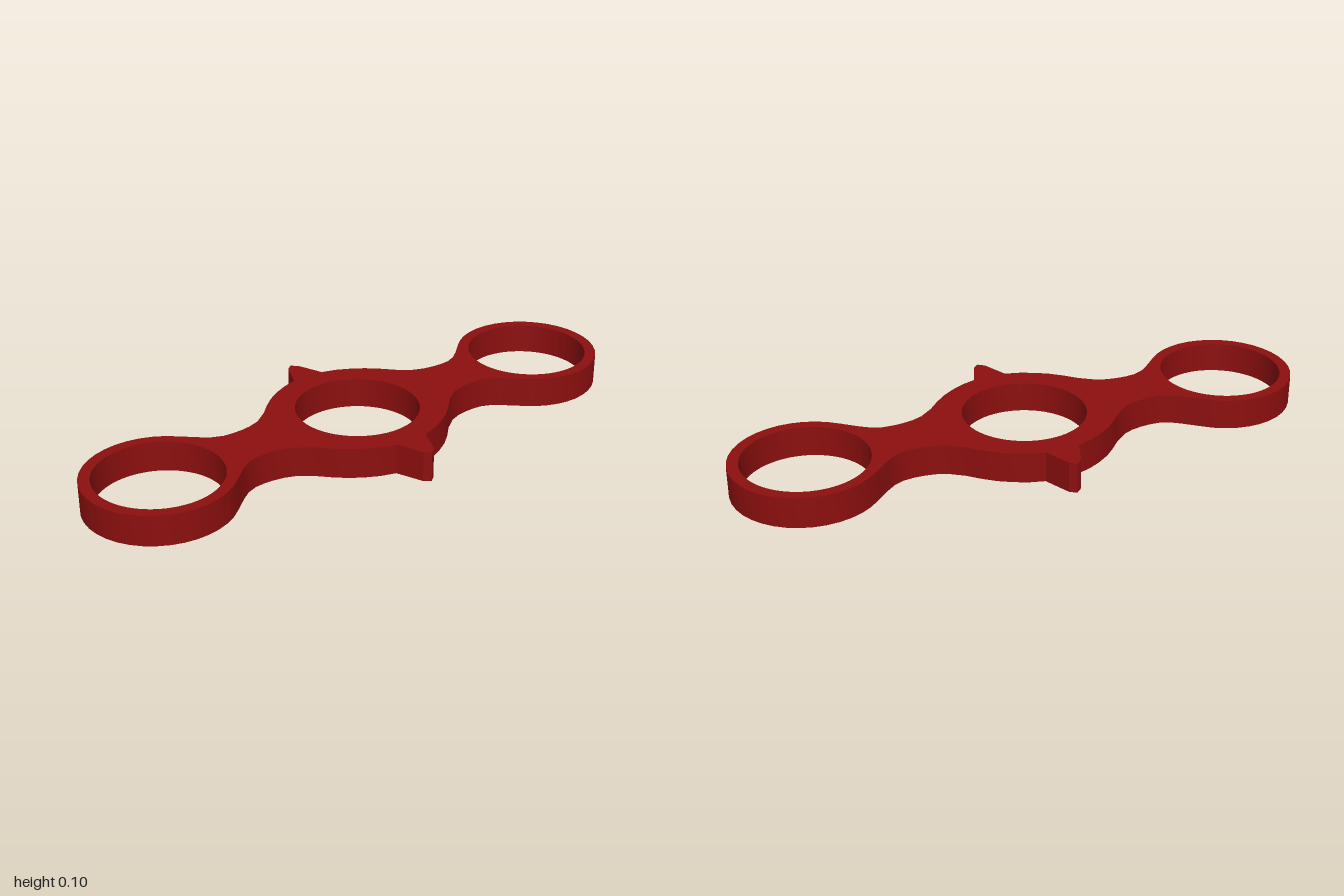
import * as THREE from 'three';
import { toCreasedNormals } from 'three/addons/utils/BufferGeometryUtils.js';

const HEIGHT = 0.104;
const RING_Z = 0.755;   // distance of the end rings from the middle
const RING_R = 0.245;   // outer radius of the end rings
const HOLE_R = 0.207;   // radius of all three holes

// One quarter of the outline, from the side spike to the end ring
function quarterOutline() {
  const points = [
    [0.392, 0], [0.375, 0.021], [0.285, 0.058],            // spike
    [0.27, 0.108], [0.248, 0.153], [0.22, 0.197], [0.185, 0.237], // hub
    [0.146, 0.275], [0.11, 0.323], [0.096, 0.36], [0.09, 0.395],  // shoulder
    [0.088, 0.43], [0.091, 0.465], [0.105, 0.5], [0.129, 0.532],  // neck
  ].map(([x, y]) => new THREE.Vector2(x, y));
  const start = -0.77, steps = 14;
  for (let i = 0; i <= steps; i++) {
    const a = start + (Math.PI / 2 - start) * i / steps;
    points.push(new THREE.Vector2(RING_R * Math.cos(a), RING_Z + RING_R * Math.sin(a)));
  }
  return points;
}

// Mirror the quarter into the full closed outline
function fullOutline() {
  const q = quarterOutline();
  const left = q.slice(0, -1).reverse().map(p => new THREE.Vector2(-p.x, p.y));
  const half = [...q, ...left];
  const back = half.slice(1, -1).map(p => new THREE.Vector2(-p.x, -p.y));
  return [...half, ...back];
}

export function createModel() {
  const group = new THREE.Group();
  group.name = 'spinner';

  // Flat plate with a hub hole and a hole in each end ring
  const shape = new THREE.Shape(fullOutline());
  for (const y of [-RING_Z, 0, RING_Z]) {
    shape.holes.push(new THREE.Path().absarc(0, y, HOLE_R, 0, Math.PI * 2, true));
  }
  const plate = new THREE.ExtrudeGeometry(shape, {
    depth: HEIGHT, bevelEnabled: false, curveSegments: 48,
  });
  plate.rotateX(-Math.PI / 2);

  const frame = new THREE.Mesh(
    toCreasedNormals(plate, 0.5),
    new THREE.MeshStandardMaterial({ color: 0x8c0f0f })
  );
  frame.name = 'frame';
  group.add(frame);
  return group;
}
